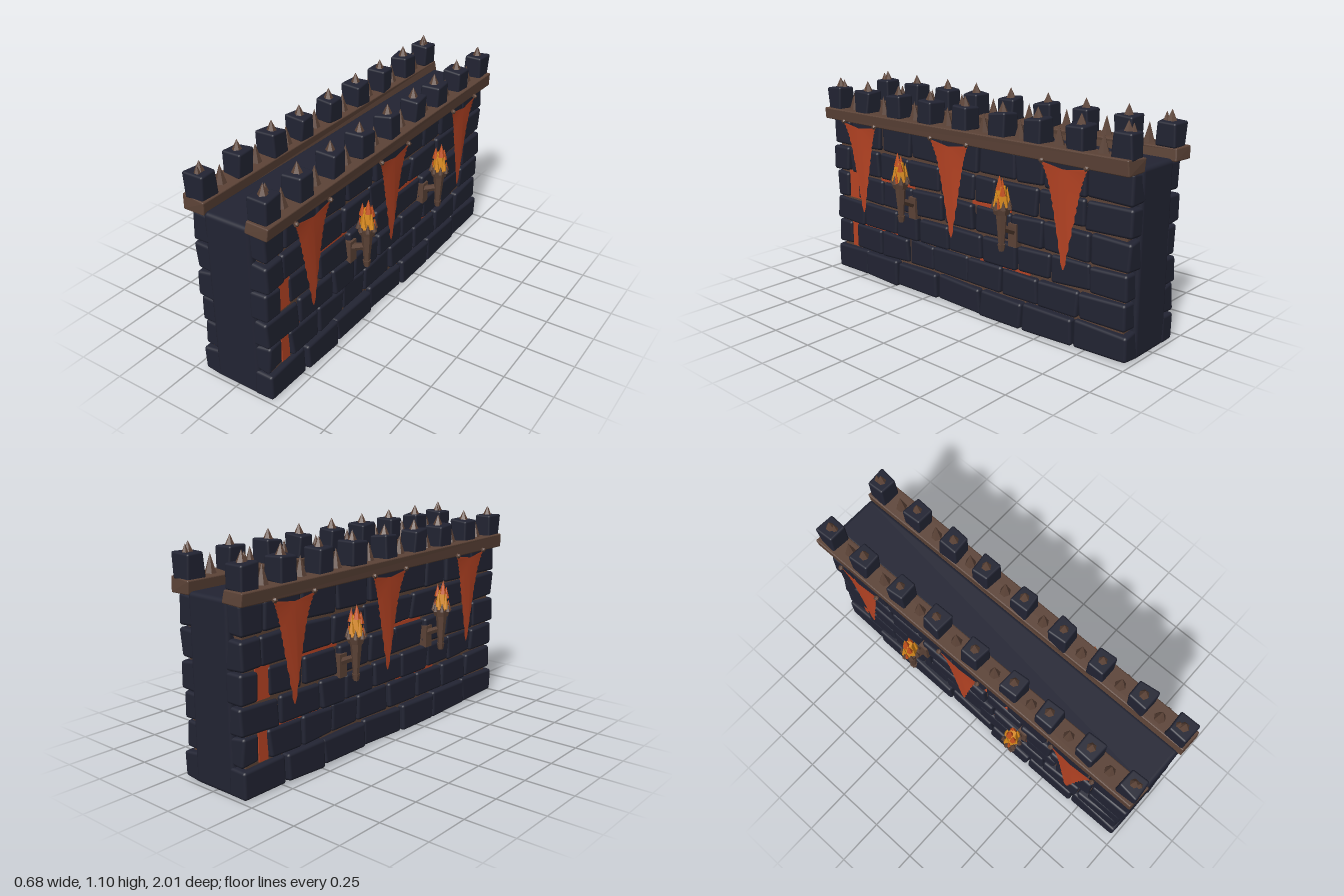
import * as THREE from 'three';
import { mergeGeometries } from 'three/addons/utils/BufferGeometryUtils.js';
import { RoundedBoxGeometry } from 'three/addons/geometries/RoundedBoxGeometry.js';

const mat = (name, color, extra = {}) =>
  Object.assign(new THREE.MeshStandardMaterial({ color, ...extra }), { name });

function seeded(seed) {
  return () => (seed = (seed * 16807) % 2147483647) / 2147483647 - 0.5;
}

export function createModel() {
  const stone = mat('darkStone', 0x222433);
  const wood = mat('brownWood', 0x5c4337);
  const cloth = mat('redCloth', 0xb84424, { side: THREE.DoubleSide });
  const ember = mat('orangeFlame', 0xc4501c);
  const fire = mat('yellowFlame', 0xd98a1c);
  for (const m of [wood, ember, fire]) m.flatShading = true;

  const add = (parent, name, geo, material) => {
    const mesh = new THREE.Mesh(geo, material);
    mesh.name = name;
    parent.add(mesh);
    return mesh;
  };
  const box = (x0, x1, y0, y1, z0, z1) =>
    new THREE.BoxGeometry(x1 - x0, y1 - y0, z1 - z0)
      .translate((x0 + x1) / 2, (y0 + y1) / 2, (z0 + z1) / 2);

  // Rounded block whose eight corners are nudged to look hand cut
  function block(rnd, x0, x1, y0, y1, z0, z1, jitter, radius = 0.014) {
    const g = new RoundedBoxGeometry(x1 - x0, y1 - y0, z1 - z0, 2, radius);
    const offsets = Array.from({ length: 8 }, () =>
      new THREE.Vector3(rnd(), rnd(), rnd()).multiplyScalar(jitter));
    const p = g.attributes.position, v = new THREE.Vector3();
    for (let i = 0; i < p.count; i++) {
      v.fromBufferAttribute(p, i);
      v.add(offsets[(v.x > 0 ? 1 : 0) + (v.y > 0 ? 2 : 0) + (v.z > 0 ? 4 : 0)]);
      p.setXYZ(i, v.x, v.y, v.z);
    }
    return g.translate((x0 + x1) / 2, (y0 + y1) / 2, (z0 + z1) / 2);
  }
  const spike = (r, y0, y1, x, z) =>
    new THREE.ConeGeometry(r, y1 - y0, 6).translate(x, (y0 + y1) / 2, z);

  // Stone courses: bottom, top, then block boundaries along z
  const courses = [
    [0.005, 0.138, [0.99, 0.73, 0.48, 0.18, -0.12, -0.39, -0.69, -0.985]],
    [0.148, 0.282, [0.985, 0.87, 0.826, 0.61, 0.4, 0.22, -0.02, -0.25, -0.48, -0.71, -0.975]],
    [0.29, 0.418, [0.985, 0.75, 0.49, 0.32, 0.1, -0.12, -0.35, -0.55, -0.77, -0.975]],
    [0.432, 0.57, [0.985, 0.875, 0.81, 0.6, 0.37, 0.14, -0.07, -0.31, -0.51, -0.77, -0.985]],
    [0.584, 0.722, [0.985, 0.86, 0.62, 0.4, 0.17, -0.07, -0.21, -0.47, -0.74, -0.985]],
    [0.734, 0.872, [0.98, 0.84, 0.6, 0.37, 0.14, -0.1, -0.33, -0.5, -0.74, -0.985]],
  ];
  const merlonZ = [0.935, 0.71, 0.47, 0.24, 0, -0.24, -0.45, -0.69, -0.93];

  function makeBanner(z) {
    const banner = new THREE.Group();
    banner.name = 'banner';
    // Tapered pennant with a ragged hem
    const edge = new THREE.CatmullRomCurve3([[0.125, 0.872], [0.093, 0.79], [0.06, 0.65], [0.006, 0.385]]
      .map(([u, y]) => new THREE.Vector3(u, y, 0))).getPoints(24);
    const right = edge.map((p, i) => new THREE.Vector2(p.x + (i % 2 ? 0.003 : -0.003), p.y));
    const left = right.map((p) => new THREE.Vector2(-p.x, p.y)).reverse();
    const g = new THREE.ShapeGeometry(new THREE.Shape([...right, ...left, new THREE.Vector2(0, 0.854)]));
    g.rotateY(Math.PI / 2);
    const p = g.attributes.position;
    for (let i = 0; i < p.count; i++)
      p.setX(i, 0.232 + 0.026 * (p.getY(i) - 0.38) + 0.004 * Math.cos(p.getZ(i) * 40));
    g.computeVertexNormals();
    add(banner, 'bannerCloth', g, cloth);
    for (const s of [-1, 1])
      add(banner, 'bannerPeg', new THREE.IcosahedronGeometry(0.014, 0).translate(0.25, 0.878, s * 0.122), wood);
    banner.position.z = z;
    return banner;
  }

  function makeTorch(z) {
    const torch = new THREE.Group();
    torch.name = 'torch';
    add(torch, 'wallPlate', box(0.17, 0.212, 0.415, 0.53, -0.025, 0.025), wood);
    const arm = add(torch, 'torchArm', new THREE.CylinderGeometry(0.017, 0.02, 0.11, 6), wood);
    arm.position.set(0.238, 0.508, 0);
    arm.rotation.z = -1.15;
    const cx = 0.288;
    add(torch, 'torchHandle', new THREE.CylinderGeometry(0.029, 0.012, 0.19, 6).translate(cx, 0.51, 0), wood);
    add(torch, 'torchKnob', new THREE.CylinderGeometry(0.02, 0.015, 0.03, 6).translate(cx, 0.435, 0), wood);
    add(torch, 'torchCup', new THREE.CylinderGeometry(0.045, 0.037, 0.035, 7).translate(cx, 0.615, 0), wood);
    for (let i = 0; i < 7; i++) {
      const a = (i / 7) * Math.PI * 2;
      add(torch, 'cupSpike', spike(0.014, 0.625, 0.67, cx + 0.04 * Math.cos(a), 0.04 * Math.sin(a)), wood);
    }
    add(torch, 'flameBody', new THREE.CylinderGeometry(0.02, 0.036, 0.1, 6).translate(cx, 0.68, 0), fire);
    // Flame tongues: x, z, bottom, top, radius
    for (const [x, fz, y0, y1, r, m] of [
      [0.01, 0.005, 0.715, 0.785, 0.02, ember], [-0.018, 0.012, 0.70, 0.765, 0.017, ember],
      [0.015, -0.018, 0.69, 0.75, 0.016, ember], [-0.028, -0.01, 0.65, 0.725, 0.016, fire],
      [0.03, 0.008, 0.64, 0.72, 0.016, fire], [0.0, 0.03, 0.65, 0.73, 0.016, fire],
      [0.035, -0.01, 0.63, 0.69, 0.01, ember], [-0.033, 0.012, 0.63, 0.69, 0.01, ember],
    ]) add(torch, 'flameTongue', spike(r, y0, y1, cx + x, fz), m);
    torch.position.z = z;
    return torch;
  }

  function makeSide(name, seed) {
    const side = new THREE.Group();
    side.name = name;
    const rnd = seeded(seed);
    add(side, 'mortar', box(0.1, 0.172, 0.03, 0.87, -0.95, 0.95), wood);

    // Stone blocks, with narrow slots left open
    const stones = [];
    courses.forEach(([y0, y1, zs], row) => {
      for (let i = 0; i < zs.length - 1; i++) {
        if (zs[i] - zs[i + 1] < 0.07) continue;
        const out = (row === 0 ? 0.208 : 0.196) + rnd() * 0.016;
        stones.push(block(rnd, 0.1, out, y0, y1, zs[i + 1] + 0.004, zs[i] - 0.004, 0.012));
      }
    });
    add(side, 'stoneBlocks', mergeGeometries(stones), stone);

    // Bright strips showing in the joints: y0, y1, z0, z1
    for (const [y0, y1, z0, z1] of [
      [0.43, 0.585, 0.8, 0.885], [0.145, 0.285, 0.82, 0.875], [0.568, 0.586, 0.36, 0.62],
      [0.28, 0.292, -0.42, -0.1], [0.568, 0.586, -0.3, -0.05], [0.28, 0.292, 0.5, 0.8],
    ]) add(side, 'jointStrip', box(0.17, 0.178, y0, y1, z0, z1), cloth);

    // Parapet beam, merlons and spikes
    add(side, 'parapetBeam', block(rnd, 0.118, 0.238, 0.872, 0.938, -0.985, 0.998, 0.012, 0.006), wood);
    const merlons = [], spikes = [];
    merlonZ.forEach((z, i) => {
      merlons.push(block(rnd, 0.12, 0.224, 0.93, 1.05, z - 0.05, z + 0.05, 0.012, 0.01));
      spikes.push(spike(0.026, 1.045, 1.1, 0.172, z));
      if (Math.abs(z) > 0.9) spikes.push(spike(0.018, 1.045, 1.09, 0.165, z - 0.022));
      if (i < merlonZ.length - 1)
        spikes.push(spike(0.031, 0.93, 1.03, 0.172, (z + merlonZ[i + 1]) / 2));
    });
    add(side, 'merlons', mergeGeometries(merlons), stone);
    add(side, 'spikes', mergeGeometries(spikes), wood);

    for (const z of [0.705, 0.045, -0.655]) side.add(makeBanner(z));
    for (const z of [0.35, -0.335]) side.add(makeTorch(z));
    return side;
  }

  const model = new THREE.Group();
  model.name = 'castleWall';
  // Solid wall core and walkway
  const core = new RoundedBoxGeometry(0.25, 0.89, 1.97, 3, 0.02).translate(0.006, 0.445, 0);
  add(model, 'wallCore', core, stone);
  const left = makeSide('leftSide', 11);
  left.position.x = 0.006;
  const right = makeSide('rightSide', 11);
  right.rotation.y = Math.PI;
  right.position.x = 0.006;
  model.add(left, right);
  return model;
}
